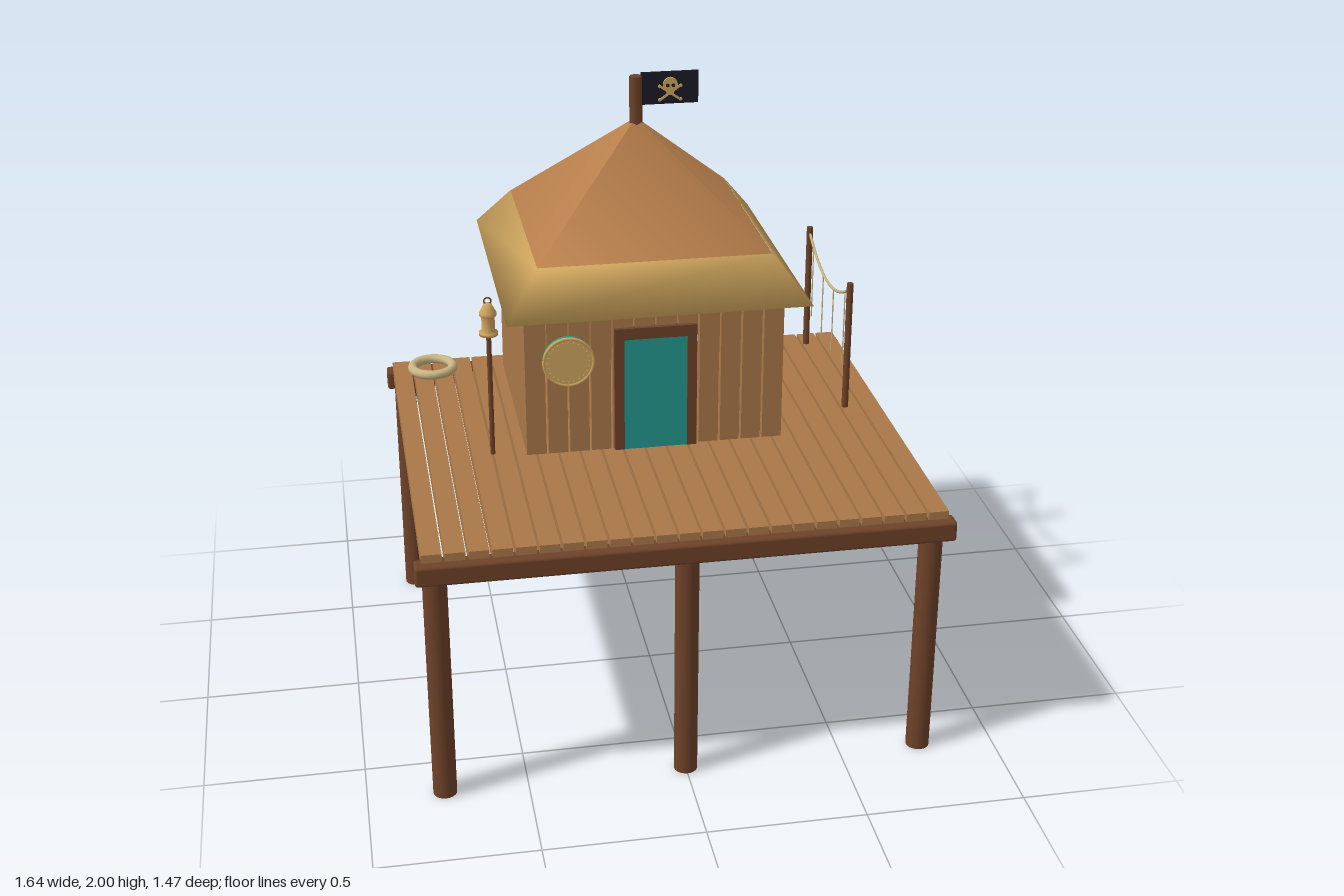
import * as THREE from 'three';
import { RoundedBoxGeometry } from 'three/addons/geometries/RoundedBoxGeometry.js';

const mat = (name, color, side = THREE.FrontSide) => {
  const m = new THREE.MeshStandardMaterial({ color, side });
  m.name = name;
  return m;
};

export function createModel() {
  const darkWood = mat('dark wood', 0x6e4229);
  const plankWood = mat('plank wood', 0xaa7848);
  const thatch = mat('thatch', 0xb87f4c, THREE.DoubleSide);
  const straw = mat('straw', 0xcfa65e);
  const rope = mat('rope', 0xc9b684);
  const teal = mat('teal paint', 0x22998f);
  const black = mat('black cloth', 0x1b1b26);

  const root = new THREE.Group();
  root.name = 'stiltHut';
  const add = (name, geo, m, x = 0, y = 0, z = 0, parent = root) => {
    const mesh = new THREE.Mesh(geo, m);
    mesh.name = name;
    mesh.position.set(x, y, z);
    parent.add(mesh);
    return mesh;
  };
  const box = (w, h, d) => new THREE.BoxGeometry(w, h, d);
  const cyl = (r, h, n = 16) => new THREE.CylinderGeometry(r, r, h, n);
  const group = (name, x = 0, y = 0, z = 0) => {
    const g = new THREE.Group();
    g.name = name;
    g.position.set(x, y, z);
    root.add(g);
    return g;
  };

  // Stilts and the two long beams
  for (const z of [-0.66, 0.66]) {
    for (const x of [-0.76, 0, 0.76]) add('stilt', cyl(0.037, 0.82, 20), darkWood, x, 0.41, z);
    add('beam', new RoundedBoxGeometry(1.64, 0.066, 0.06, 2, 0.01), darkWood, 0, 0.806, Math.sign(z) * 0.7);
  }

  // Deck boards
  const floorY = 0.865;
  const deck = group('deck');
  for (let i = 0; i < 23; i++) {
    add('deckBoard', box(0.0615, 0.05, 1.4), plankWood, (i - 11) * 0.0698, floorY - 0.025, 0, deck);
  }

  // Hut walls: boarded front and back, plain sides
  const cz = -0.255;
  const wallH = 0.56;
  const walls = group('walls', 0, floorY + wallH / 2, cz);
  for (const s of [-1, 1]) {
    for (let i = 0; i < 12; i++) {
      add('wallBoard', box(0.063, wallH, 0.025), plankWood, (i - 5.5) * 0.0698, 0, s * 0.348, walls);
    }
    add('sideWall', box(0.025, wallH, 0.72), plankWood, s * 0.4035, 0, 0, walls);
  }

  // Pyramid roof
  const roof = new THREE.ConeGeometry(0.37 * Math.SQRT2, 0.35, 4, 1, true);
  roof.rotateY(Math.PI / 4);
  add('roof', roof, thatch, 0, 1.68, cz);

  // Flared eave: square rings, from the top edge over the lip to the underside
  const rings = [[0.37, 1.506], [0.48, 1.365], [0.36, 1.46]];
  const pos = [];
  const index = [];
  for (const [r, y] of rings) {
    for (const [sx, sz] of [[1, 1], [1, -1], [-1, -1], [-1, 1]]) pos.push(sx * r, y, sz * r);
  }
  for (let k = 0; k < 2; k++) {
    for (let i = 0; i < 4; i++) {
      const a = k * 4 + i, b = k * 4 + ((i + 1) % 4);
      index.push(a, a + 4, b, b, a + 4, b + 4);
    }
  }
  const eave = new THREE.BufferGeometry();
  eave.setAttribute('position', new THREE.Float32BufferAttribute(pos, 3));
  eave.setIndex(index);
  eave.computeVertexNormals();
  add('eave', eave, straw, 0, 0, cz);

  // Flagpole, flag and its emblem
  add('flagpole', cyl(0.021, 0.17, 8), darkWood, 0, 1.905, cz);
  add('flag', box(0.185, 0.105, 0.006), black, 0.109, 1.9475, cz);
  const emblem = group('flagEmblem', 0.11, 1.947, cz + 0.005);
  for (const s of [-1, 1]) {
    const bone = add('bone', box(0.078, 0.007, 0.004), straw, 0, -0.016, 0, emblem);
    bone.rotation.z = s * 0.6;
    for (const e of [-1, 1]) {
      add('boneEnd', new THREE.SphereGeometry(0.006, 8, 6), straw,
        e * 0.034, -0.016 + e * s * 0.022, 0, emblem).scale.z = 0.4;
    }
    add('eyeHole', new THREE.CircleGeometry(0.006, 12), black, s * 0.009, 0.01, 0.0075, emblem);
  }
  const skull = cyl(0.024, 0.006, 20);
  skull.rotateX(Math.PI / 2);
  add('skull', skull, straw, 0, 0.012, 0.003, emblem);
  add('jaw', box(0.024, 0.016, 0.006), straw, 0, -0.014, 0.003, emblem);

  // Door in its frame
  const door = group('door', 0, floorY, 0.108);
  add('doorPanel', box(0.204, 0.382, 0.012), teal, 0, 0.191, 0.003, door);
  for (const s of [-1, 1]) add('doorJamb', box(0.031, 0.42, 0.022), darkWood, s * 0.117, 0.21, 0, door);
  add('doorLintel', box(0.264, 0.038, 0.022), darkWood, 0, 0.401, 0, door);

  // Round shield beside the door
  const shield = group('shield', -0.28, 1.19, 0.106);
  const disc = (name, r, h, m, z) => {
    const g = cyl(r, h, 32);
    g.rotateX(Math.PI / 2);
    add(name, g, m, 0, 0, z, shield);
  };
  disc('shieldBack', 0.08, 0.018, teal, 0.009);
  disc('shieldFace', 0.083, 0.007, straw, 0.0215);
  add('shieldRim', new THREE.TorusGeometry(0.079, 0.005, 8, 32), straw, 0, 0, 0.023, shield);
  for (let i = 0; i < 24; i++) {
    const a = (i / 24) * Math.PI * 2;
    add('shieldStud', new THREE.SphereGeometry(0.003, 6, 4), straw,
      0.067 * Math.cos(a), 0.067 * Math.sin(a), 0.025, shield);
  }

  // Lantern on a thin post
  const lantern = group('lantern', -0.523, 0, 0.075);
  add('lanternPost', cyl(0.008, 0.42, 10), darkWood, 0, floorY + 0.21, 0, lantern);
  const profile = [[0, 1.28], [0.03, 1.28], [0.03, 1.29], [0.021, 1.295], [0.021, 1.34],
    [0.027, 1.345], [0.027, 1.355], [0.018, 1.372], [0.012, 1.385], [0, 1.387]];
  add('lanternBody', new THREE.LatheGeometry(profile.map(([r, y]) => new THREE.Vector2(r, y)), 16),
    straw, 0, 0, 0, lantern);
  add('lanternLoop', new THREE.TorusGeometry(0.011, 0.0025, 6, 16), darkWood, 0, 1.393, 0, lantern);

  // Rope line strung between two posts, with hanging cords
  const line = group('ropeLine', 0.68, 0, 0);
  const zA = -0.075, zB = -0.615, mid = (zA + zB) / 2;
  for (const z of [zA, zB]) add('linePost', cyl(0.011, 0.445, 10), darkWood, 0, floorY + 0.2225, z, line);
  const ropeY = (z) => 1.205 + 0.085 * ((z - mid) / (zA - mid)) ** 2;
  const pts = [];
  for (let i = 0; i <= 10; i++) {
    const z = zA + (zB - zA) * i / 10;
    pts.push(new THREE.Vector3(0, ropeY(z), z));
  }
  add('saggingRope', new THREE.TubeGeometry(new THREE.CatmullRomCurve3(pts), 30, 0.005, 6), rope, 0, 0, 0, line);
  for (const [z, low] of [[-0.132, 1.0], [-0.275, 0.98], [-0.412, 0.985], [-0.555, 0.995]]) {
    const h = ropeY(z) - low;
    add('hangingCord', cyl(0.0022, h, 6), rope, 0, low + h / 2, z, line);
  }

  // Coiled ring lying on the deck
  const ring = new THREE.TorusGeometry(0.07, 0.016, 12, 40);
  ring.rotateX(Math.PI / 2);
  add('ropeRing', ring, rope, -0.664, floorY + 0.018, -0.598);

  return root;
}
